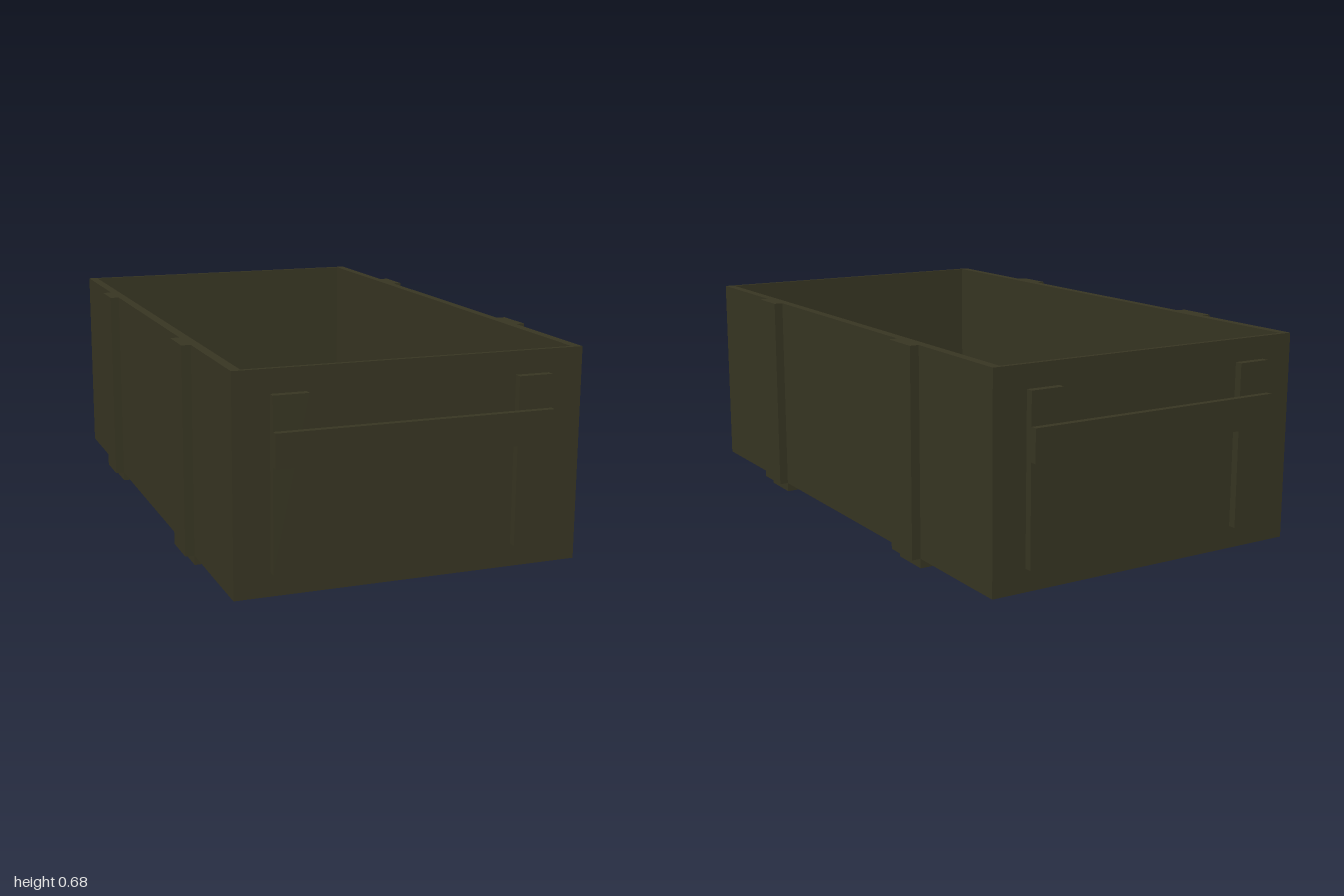
import * as THREE from 'three';

export function createModel() {
  const model = new THREE.Group();
  model.name = 'openCrate';
  const paint = new THREE.MeshStandardMaterial({ color: 0x373522 });
  paint.name = 'olivePaint';

  // Box given by its minimum and maximum corners
  function box(name, x0, x1, y0, y1, z0, z1) {
    const mesh = new THREE.Mesh(new THREE.BoxGeometry(x1 - x0, y1 - y0, z1 - z0), paint);
    mesh.position.set((x0 + x1) / 2, (y0 + y1) / 2, (z0 + z1) / 2);
    mesh.name = name;
    model.add(mesh);
  }

  const W = 0.535, L = 0.955, bottom = 0.03, top = 0.68;
  const innerW = 0.505, innerL = 0.941, floorTop = 0.1;

  // Four walls as one rectangular frame
  const rect = (path, w, l) => path.moveTo(-w, -l).lineTo(w, -l).lineTo(w, l).lineTo(-w, l).closePath();
  const frame = rect(new THREE.Shape(), W, L);
  frame.holes.push(rect(new THREE.Path(), innerW, innerL));
  const wallGeometry = new THREE.ExtrudeGeometry(frame, { depth: top - bottom, bevelEnabled: false });
  wallGeometry.rotateX(-Math.PI / 2);
  wallGeometry.translate(0, bottom, 0);
  const walls = new THREE.Mesh(wallGeometry, paint);
  walls.name = 'walls';
  model.add(walls);

  // Floor panel inside the walls
  box('floor', -innerW, innerW, bottom, floorTop, -innerL, innerL);

  for (const end of [-1, 1]) {
    const span = (a, b) => (end > 0 ? [a, b] : [-b, -a]);

    // Battens wrapping the sides and bottom
    box('bottomBatten', -W, W, 0, bottom, ...span(0.423, 0.552));
    box('leftBatten', W, 0.564, bottom, top, ...span(0.423, 0.552));
    box('rightBatten', -0.564, -W, bottom, top, ...span(0.423, 0.552));

    // Upright cleats and the handle bar across them
    box('leftCleat', 0.32, 0.426, 0.1, 0.61, ...span(L, 0.979));
    box('rightCleat', -0.426, -0.32, 0.1, 0.61, ...span(L, 0.979));
    box('handleBar', -0.426, 0.426, 0.41, 0.51, ...span(0.979, 1));
  }
  return model;
}
